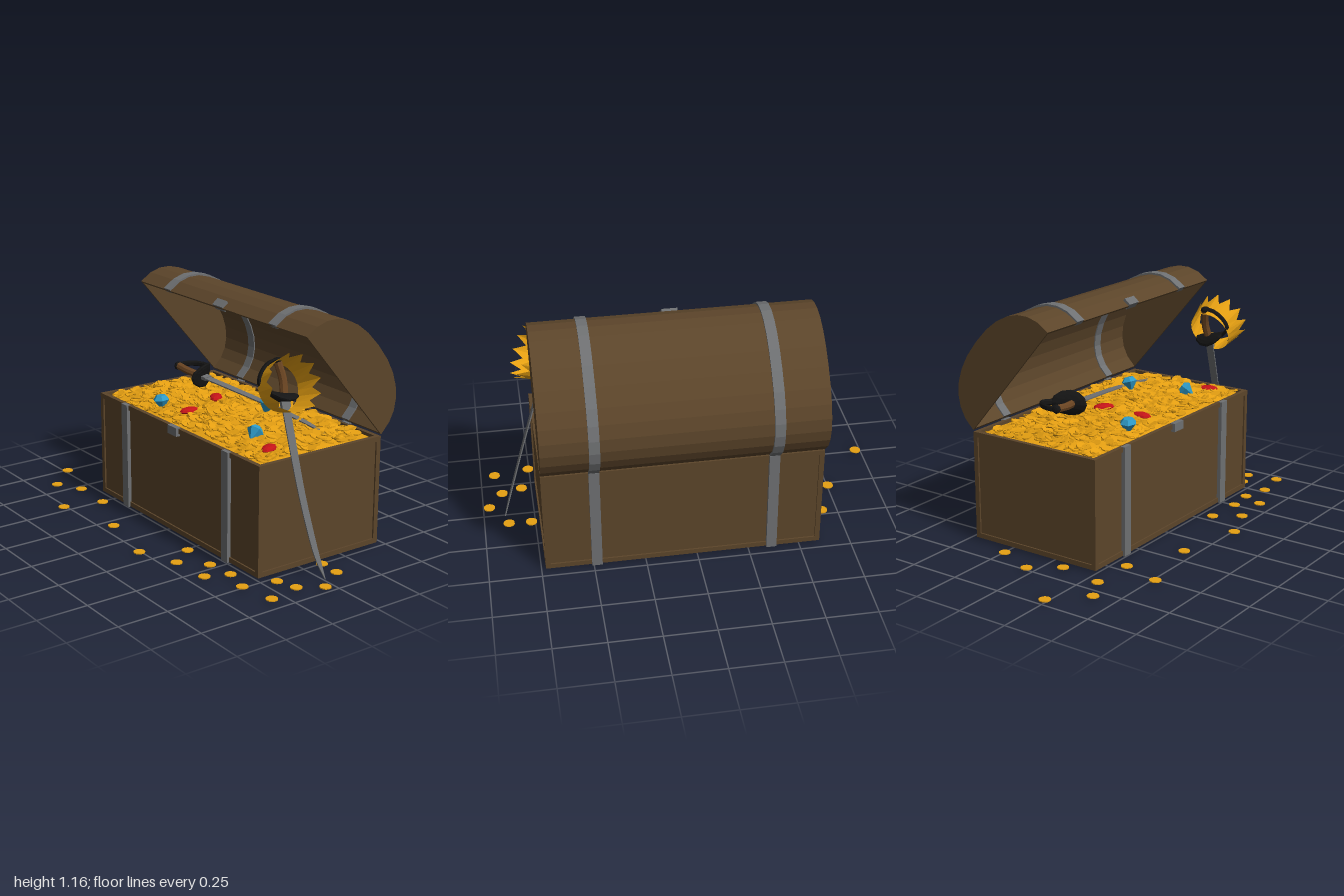
import * as THREE from 'three';
import { mergeGeometries } from 'three/addons/utils/BufferGeometryUtils.js';

const mat = (color) => new THREE.MeshStandardMaterial({ color, flatShading: true, side: THREE.DoubleSide });
const WOOD = mat(0x5c452a), IRON = mat(0x6e7072), GOLD = mat(0xe6a012), BLACK = mat(0x141414);
const GRIP = mat(0x6b4522), BLUE = mat(0x2f9bc9), RED = mat(0xc41418);

// chest extents
const X0 = -0.6, X1 = 0.73, Y0 = 0.02, Y1 = 0.555, Z0 = -0.462, Z1 = 0.248;
const CX = (X0 + X1) / 2, CY = (Y0 + Y1) / 2, CZ = (Z0 + Z1) / 2;
const W = X1 - X0, H = Y1 - Y0, D = Z1 - Z0;
const STRAPS = [-0.36, 0.485];

let seed = 7;
const rand = () => (seed = (seed * 16807) % 2147483647) / 2147483647;

function add(parent, name, geometry, material, x = 0, y = 0, z = 0) {
  const mesh = new THREE.Mesh(geometry, material);
  mesh.name = name;
  mesh.position.set(x, y, z);
  parent.add(mesh);
  return mesh;
}
const box = (w, h, d) => new THREE.BoxGeometry(w, h, d);

// rectangular frame with a sunken panel, facing +z
function panel(w, h) {
  const rim = 0.024, a = w / 2, b = h / 2;
  const rect = (P, x, y) => new P([[-x, -y], [x, -y], [x, y], [-x, y]].map((p) => new THREE.Vector2(...p)));
  const shape = rect(THREE.Shape, a, b);
  shape.holes.push(rect(THREE.Path, a - rim, b - rim));
  const frame = new THREE.ExtrudeGeometry(shape, { depth: 0.022, bevelEnabled: false }).toNonIndexed();
  const board = box(w - 0.02, h - 0.002, 0.012).toNonIndexed();
  frame.translate(0, 0, -0.022);
  board.translate(0, 0, -0.014);
  return mergeGeometries([frame, board]);
}

function buildBody() {
  const body = new THREE.Group();
  body.name = 'chestBody';
  add(body, 'frontWall', panel(W, H), WOOD, CX, CY, Z1);
  add(body, 'backWall', panel(W, H), WOOD, CX, CY, Z0).rotation.y = Math.PI;
  add(body, 'leftWall', panel(D, H), WOOD, X1, CY, CZ).rotation.y = Math.PI / 2;
  add(body, 'rightWall', panel(D, H), WOOD, X0, CY, CZ).rotation.y = -Math.PI / 2;
  add(body, 'floor', box(W - 0.002, 0.015, D - 0.002), WOOD, CX, Y0 + 0.008, CZ);
  for (const x of STRAPS) {
    add(body, 'frontStrap', box(0.05, H + 0.004, 0.022), IRON, x, CY, Z1);
    add(body, 'backStrap', box(0.05, H + 0.004, 0.02), IRON, x, CY, Z0);
  }
  add(body, 'latchPlate', box(0.075, 0.042, 0.026), IRON, 0.065, 0.539, Z1);
  return body;
}

// rounded lid section, grown outward by g
const lidArc = (g, n = 14) => Array.from({ length: n + 1 }, (_, i) => {
  const t = (i / n) * Math.PI, e = 2 / 2.3, c = Math.cos(t);
  return new THREE.Vector2(
    (0.353 + g) * Math.sign(c) * Math.abs(c) ** e,
    (0.254 + g) * Math.max(0, Math.sin(t)) ** e);
});
function lidSlice(outer, inner, width) {
  const pts = lidArc(outer);
  if (inner !== null) pts.push(...lidArc(inner).reverse());
  return new THREE.ExtrudeGeometry(new THREE.Shape(pts), { depth: width, bevelEnabled: false });
}

function buildLid() {
  // local x runs hinge to lip, local y outward, local z toward the model's right
  const lid = new THREE.Group();
  lid.name = 'lid';
  const lip = new THREE.Vector3(0, 0.763, 0.646).normalize();
  const out = new THREE.Vector3(0, lip.z, -lip.y);
  lid.quaternion.setFromRotationMatrix(new THREE.Matrix4().makeBasis(lip, out, new THREE.Vector3(-1, 0, 0)));
  lid.position.set(X1, 0.832, -0.235);
  add(lid, 'lidShell', lidSlice(0, -0.012, W), WOOD);
  for (const z of [0, W - 0.01]) add(lid, 'lidEnd', lidSlice(-0.001, null, 0.01), WOOD, 0, 0, z);
  for (const x of STRAPS) add(lid, 'lidStrap', lidSlice(0.009, -0.018, 0.05), IRON, 0, 0, X1 - x - 0.025);
  add(lid, 'lidLatch', box(0.035, 0.04, 0.075), IRON, 0.345, 0.02, X1 - 0.065);
  return lid;
}

// heap surface, highest in the middle
const heap = (x, z) => {
  const u = (x - CX) / (W / 2), w = (z - CZ) / (D / 2);
  return 0.542 + 0.052 * (1 - u * u) * (1 - w * w) + 0.004 * Math.sin(x * 17) * Math.cos(z * 19);
};

function buildTreasure() {
  const treasure = new THREE.Group();
  treasure.name = 'treasure';
  const mound = new THREE.PlaneGeometry(W - 0.04, D - 0.04, 24, 14).rotateX(-Math.PI / 2).translate(CX, 0, CZ);
  const p = mound.attributes.position;
  for (let i = 0; i < p.count; i++) p.setY(i, heap(p.getX(i), p.getZ(i)) - 0.006);
  add(treasure, 'goldMound', mound, GOLD);

  const coin = new THREE.CylinderGeometry(0.026, 0.026, 0.006, 10);
  const coins = [];
  for (let i = 0; i < 1100; i++) {
    const x = CX + (rand() - 0.5) * (W - 0.105), z = CZ + (rand() - 0.5) * (D - 0.105);
    coins.push(coin.clone().rotateX((rand() - 0.5) * 0.8).rotateZ((rand() - 0.5) * 0.8)
      .translate(x, heap(x, z) + rand() * 0.012, z));
  }
  add(treasure, 'heapedCoins', mergeGeometries(coins), GOLD);

  // coins lying on the floor around the chest
  const spots = [[-0.67, -0.23], [-0.75, 0.035], [-0.65, 0.1], [-0.97, 0.245], [-0.82, 0.395], [-0.69, 0.325],
    [-0.47, 0.33], [-0.525, 0.525], [-0.17, 0.45], [0.17, 0.52], [0.285, 0.325], [0.37, 0.445], [0.48, 0.335],
    [0.57, 0.43], [0.62, 0.32], [0.755, 0.355], [0.93, 0.325], [0.9, 0.165], [0.8, 0.195], [0.97, 0.055],
    [0.88, -0.085], [0.77, -0.09]];
  spots[1][1] = -0.035;
  const flat = new THREE.CylinderGeometry(0.028, 0.028, 0.005, 14);
  for (const [x, z] of spots) add(treasure, 'looseCoin', flat, GOLD, x, 0.02, z);

  // cut blue gems: pointed below, flat on top
  const gem = new THREE.LatheGeometry([[0, -0.043], [0.042, 0.012], [0.024, 0.034], [0, 0.034]]
    .map((q) => new THREE.Vector2(...q)), 6);
  [[-0.195, 0.593, 0.145, 0.2], [0.255, 0.635, -0.16, -0.15], [0.445, 0.593, 0.06, -0.5]].forEach(([x, y, z, tilt]) => {
    add(treasure, 'blueGem', gem, BLUE, x, y, z).rotation.set(tilt, x * 5, tilt);
  });
  // oval red gems
  const oval = new THREE.SphereGeometry(1, 10, 6).scale(0.032, 0.018, 0.053);
  [[-0.02, 0.585, 0.1, 0], [-0.065, 0.606, -0.09, 0.9], [0.595, 0.568, 0.09, 0.5]].forEach(([x, y, z, turn]) => {
    add(treasure, 'redGem', oval, RED, x, y, z).rotation.y = turn;
  });
  return treasure;
}

// curved sword: grip along +y, blade along -y, knuckle bow toward +z
function buildSword(name) {
  const sword = new THREE.Group();
  sword.name = name;
  const stations = [[0.02, 0, 0.021], [-0.21, -0.003, 0.02], [-0.42, -0.009, 0.018], [-0.63, -0.026, 0.016],
    [-0.74, -0.042, 0.012], [-0.825, -0.062, 0.001]];
  const edge = (s) => new THREE.SplineCurve(stations.map(([y, z, w]) => new THREE.Vector2(z + s * w, y))).getPoints(15);
  const outline = new THREE.Shape([...edge(1), ...edge(-1).reverse()]);
  const blade = new THREE.ExtrudeGeometry(outline, { depth: 0.006, bevelEnabled: false });
  add(sword, 'blade', blade, IRON, 0.003).rotation.y = -Math.PI / 2;
  add(sword, 'bladeCollar', box(0.016, 0.03, 0.048), IRON, 0, -0.012, 0);

  const guard = new THREE.SphereGeometry(1, 12, 8).scale(0.062, 0.02, 0.088);
  const p = guard.attributes.position;
  for (let i = 0; i < p.count; i++) {
    const x = p.getX(i), z = p.getZ(i);
    p.setY(i, p.getY(i) + 2.2 * z * z - 4 * x * x);
  }
  add(sword, 'handGuard', guard, BLACK, 0, 0.024, 0.015).rotation.x = -0.25;

  const curve = (pts) => new THREE.CatmullRomCurve3(pts.map(([y, z]) => new THREE.Vector3(0, y, z)));
  const bow = new THREE.TubeGeometry(curve([[0.05, 0.085], [0.1, 0.122], [0.15, 0.1], [0.185, 0.05], [0.19, 0]]), 14, 0.008, 6);
  add(sword, 'knuckleBow', bow.scale(1.8, 1, 1), BLACK);
  const grip = new THREE.TubeGeometry(curve([[0.02, 0], [0.1, -0.008], [0.18, 0.004]]), 8, 0.019, 8);
  add(sword, 'grip', grip, GRIP);
  add(sword, 'pommel', new THREE.SphereGeometry(0.023, 8, 6).scale(1, 0.6, 1), BLACK, 0, 0.188, 0.004);
  return sword;
}

function buildCrown() {
  // open ring, alternate rim points raised into spikes
  const ring = new THREE.CylinderGeometry(1, 1, 1, 24, 1, true);
  const p = ring.attributes.position;
  for (let i = 0; i < p.count; i++) {
    const top = p.getY(i) > 0, spike = i % 25 % 2 === 0;
    const r = top ? (spike ? 0.135 : 0.122) : 0.109;
    p.setXYZ(i, p.getX(i) * r, top ? (spike ? 0.075 : 0.02) : -0.068, p.getZ(i) * r);
  }
  const crown = new THREE.Group();
  crown.name = 'crown';
  add(crown, 'crownRing', ring, GOLD);
  crown.position.set(0.695, 0.887, 0.073);
  crown.rotation.z = -1.16;
  return crown;
}

export function createModel() {
  const model = new THREE.Group();
  model.name = 'treasureChest';
  const leaning = buildSword('leaningSword');
  leaning.position.set(0.66, 0.8, 0.055);
  leaning.rotation.z = 0.288;

  // second sword lies flat across the heap
  const lying = buildSword('lyingSword');
  const up = new THREE.Vector3(-0.97, 0.11, 0.2).normalize();
  const bow = new THREE.Vector3(0, 0, -1).addScaledVector(up, up.z).normalize();
  const side = new THREE.Vector3().crossVectors(up, bow);
  lying.quaternion.setFromRotationMatrix(new THREE.Matrix4().makeBasis(side, bow.clone().cross(side), bow));
  lying.position.set(-0.235, 0.662, -0.14);

  model.add(buildBody(), buildLid(), buildTreasure(), leaning, lying, buildCrown());
  return model;
}
